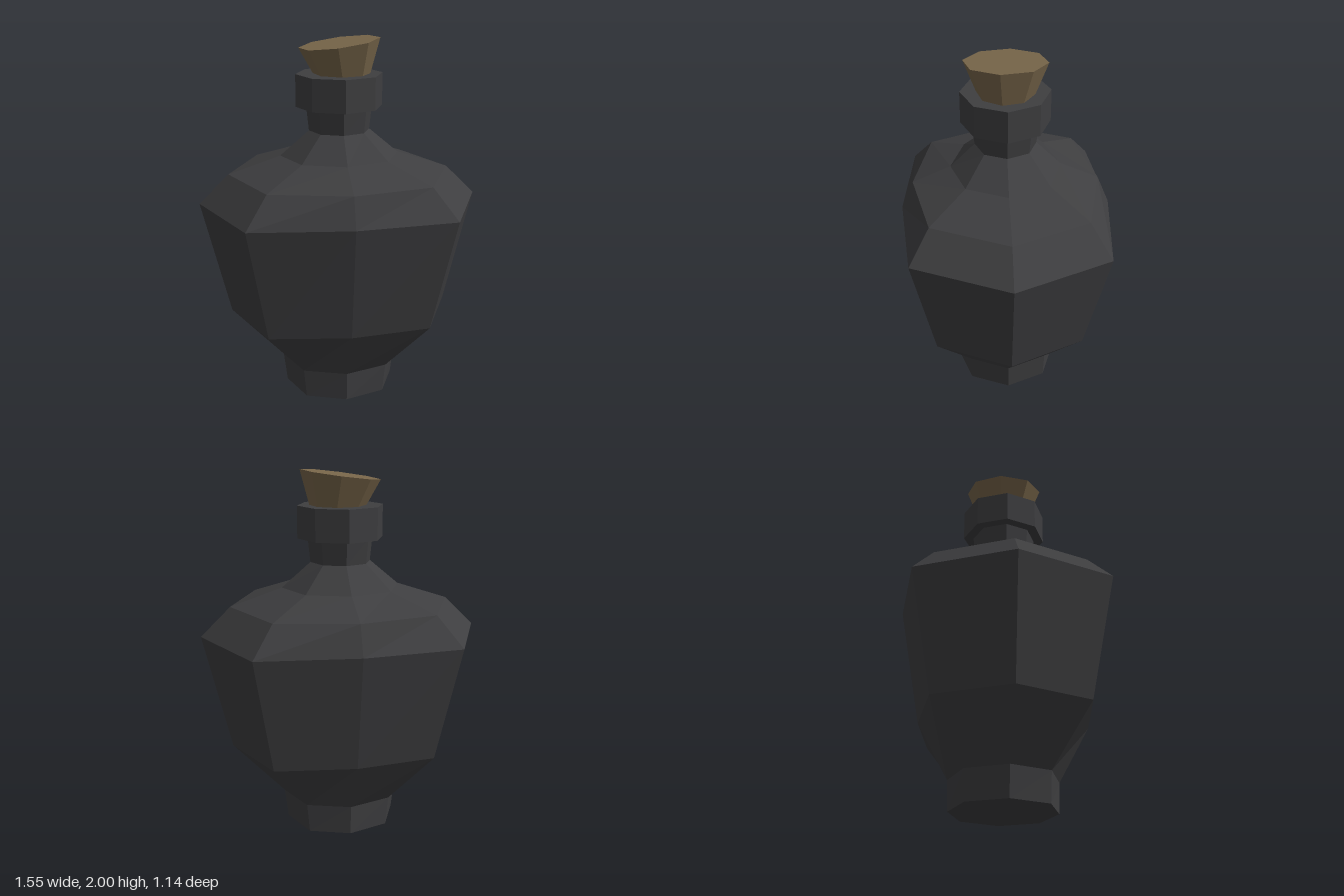
import * as THREE from 'three';

const glass = new THREE.MeshStandardMaterial({ color: 0x3e3e40, flatShading: true });
const cork = new THREE.MeshStandardMaterial({ color: 0x78664a, flatShading: true });

// Eight-sided ring: half-widths on the axes (rx, rz) and on the diagonals (dx, dz)
function ring([y, rx, rz, dx, dz]) {
  return [[rx, y, 0], [dx, y, dz], [0, y, rz], [-dx, y, dz],
    [-rx, y, 0], [-dx, y, -dz], [0, y, -rz], [dx, y, -dz]];
}

// Skin stacked rings from bottom to top and cap both ends
function loft(sections) {
  const rings = sections.map(ring);
  const n = 8, last = rings.length - 1;
  const pos = rings.flat(2), index = [];
  for (let k = 0; k < last; k++) {
    for (let i = 0; i < n; i++) {
      const j = (i + 1) % n, a = k * n, b = a + n;
      index.push(a + i, b + i, a + j, a + j, b + i, b + j);
    }
  }
  for (let i = 1; i < n - 1; i++) {
    index.push(0, i, i + 1);
    index.push(last * n, last * n + i + 1, last * n + i);
  }
  const geo = new THREE.BufferGeometry();
  geo.setAttribute('position', new THREE.Float32BufferAttribute(pos, 3));
  geo.setIndex(index);
  const flat = geo.toNonIndexed();
  flat.computeVertexNormals();
  return flat;
}

export function createModel() {
  const group = new THREE.Group();
  const add = (name, geo, mat) => {
    const mesh = new THREE.Mesh(geo, mat);
    mesh.name = name;
    group.add(mesh);
    return mesh;
  };

  // Foot, flattened belly, shoulders and neck: [y, rx, rz, dx, dz]
  add('bottleBody', loft([
    [0, 0.31, 0.29, 0.22, 0.215],
    [0.165, 0.33, 0.295, 0.235, 0.22],
    [0.47, 0.62, 0.46, 0.44, 0.405],
    [1.115, 0.773, 0.572, 0.547, 0.518],
    [1.275, 0.61, 0.505, 0.43, 0.41],
    [1.37, 0.325, 0.297, 0.23, 0.22],
    [1.505, 0.166, 0.164, 0.117, 0.117],
    [1.64, 0.18, 0.18, 0.127, 0.127],
  ]), glass);

  // Thick lip around the mouth
  const collar = add('collar', new THREE.CylinderGeometry(0.236, 0.236, 0.175, 8), glass);
  collar.position.y = 1.723;

  // Tapered stopper, pushed in at a slight tilt
  const stopperGeo = new THREE.CylinderGeometry(0.219, 0.117, 0.25, 8, 1, false, -0.17);
  stopperGeo.translate(0, -0.125, 0);
  const stopper = add('stopper', stopperGeo, cork);
  stopper.position.y = 1.972;
  stopper.rotation.z = 0.129;

  return group;
}
